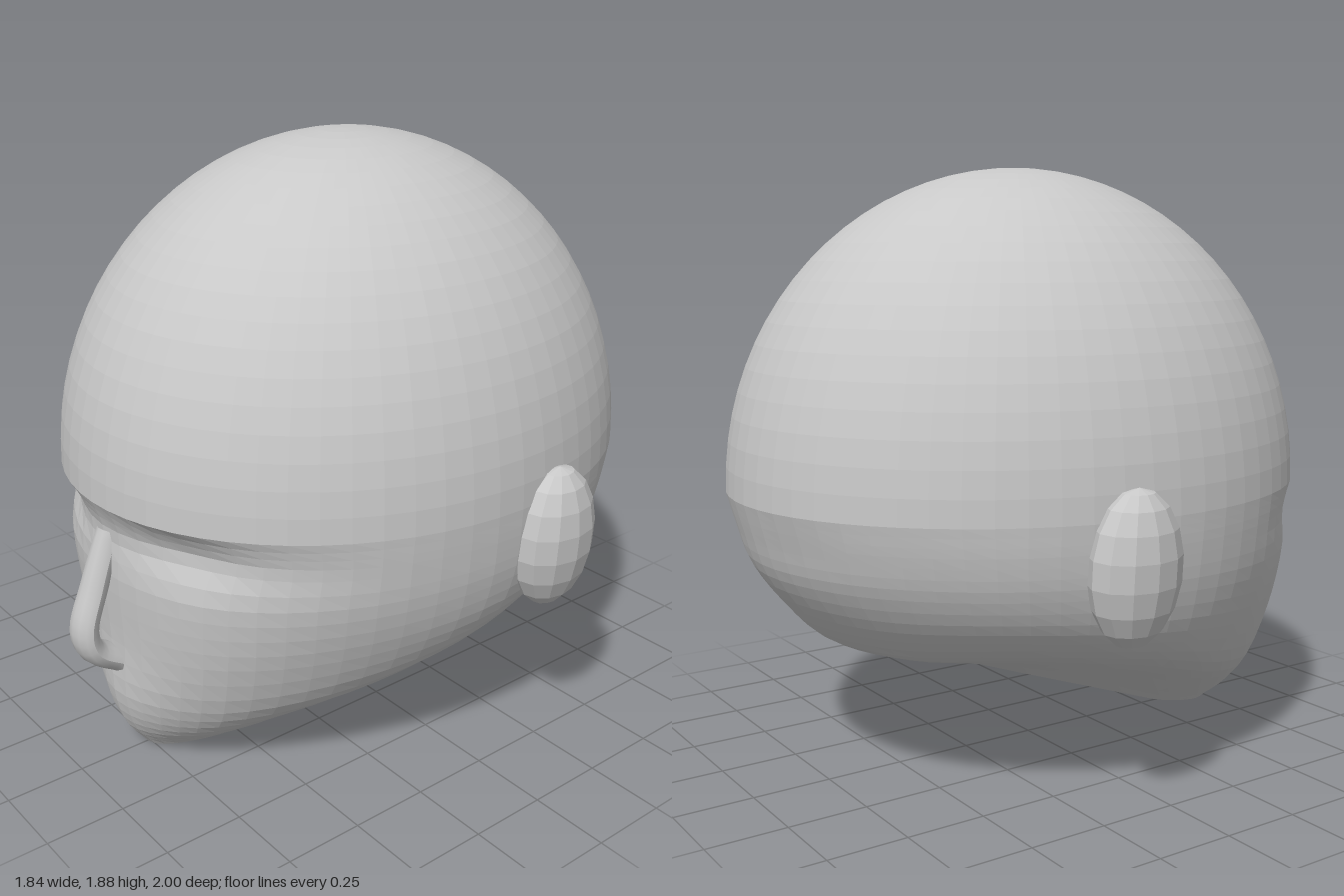
import * as THREE from 'three';

const clay = new THREE.MeshStandardMaterial({ color: 0xc8c8c8 });
clay.name = 'clay grey';

const COLS = 64, DOME_ROWS = 20, FACE_ROWS = 20, FLOOR_ROWS = 5;
const BROW = 0.895;
const POLE = new THREE.Vector3(0, 0.2, 0);

// Meridians of the lower head every 30 degrees from front to back:
// [x, y, z] going down from below the brow to the rim of the underside
const meridians = [
  [[0, 0.8, 0.88], [0, 0.62, 0.875], [0, 0.42, 0.865], [0, 0.22, 0.865], [0, 0.1, 0.83], [0, 0, 0.76]],
  [[0.41, 0.8, 0.765], [0.4, 0.63, 0.76], [0.37, 0.44, 0.745], [0.3, 0.23, 0.72], [0.22, 0.11, 0.69], [0.16, 0.04, 0.62]],
  [[0.71, 0.8, 0.425], [0.69, 0.65, 0.42], [0.64, 0.48, 0.4], [0.55, 0.31, 0.38], [0.39, 0.19, 0.37], [0.26, 0.12, 0.34]],
  [[0.825, 0.8, -0.05], [0.81, 0.68, -0.05], [0.765, 0.54, -0.04], [0.68, 0.43, -0.03], [0.5, 0.34, -0.03], [0.3, 0.27, -0.02]],
  [[0.71, 0.8, -0.52], [0.69, 0.69, -0.5], [0.64, 0.57, -0.46], [0.55, 0.47, -0.4], [0.42, 0.4, -0.31], [0.27, 0.34, -0.22]],
  [[0.41, 0.8, -0.85], [0.39, 0.69, -0.82], [0.36, 0.56, -0.74], [0.3, 0.45, -0.64], [0.23, 0.4, -0.52], [0.16, 0.36, -0.37]],
  [[0, 0.8, -0.975], [0, 0.69, -0.94], [0, 0.56, -0.85], [0, 0.45, -0.74], [0, 0.4, -0.6], [0, 0.36, -0.42]],
];

// Closed horizontal loop through one level of the mirrored meridians
function levelLoop(level) {
  const points = [];
  for (let k = 0; k < 12; k++) {
    const [x, y, z] = meridians[k <= 6 ? k : 12 - k][level];
    points.push(new THREE.Vector3(k <= 6 ? x : -x, y, z));
  }
  return new THREE.CatmullRomCurve3(points, true);
}

// Recess under the brow, deepest at the two eye sockets
function carveBrow(p) {
  const front = THREE.MathUtils.smoothstep(p.z, 0.25, 0.65);
  const socket = 0.012 + 0.035 * Math.exp(-(((Math.abs(p.x) - 0.34) / 0.18) ** 2));
  p.z -= front * socket * Math.exp(-(((p.y - 0.8) / 0.075) ** 2));
}

function flat(geometry) {
  const g = geometry.index ? geometry.toNonIndexed() : geometry;
  g.computeVertexNormals();
  return g;
}

function headGeometry() {
  const loops = meridians[0].map((_, level) => levelLoop(level));
  const columns = [];
  for (let j = 0; j < COLS; j++) {
    const a = (j / COLS) * Math.PI * 2;
    const column = [];
    // Dome
    for (let i = 0; i <= DOME_ROWS; i++) {
      const t = (i / DOME_ROWS) * Math.PI / 2, r = Math.sin(t);
      column.push(new THREE.Vector3(
        0.83 * Math.sin(a) * r, BROW + 0.99 * Math.cos(t), -0.05 + 0.95 * Math.cos(a) * r));
    }
    // Face, jaw and back of the skull
    const wall = new THREE.CatmullRomCurve3(
      [column[DOME_ROWS].clone(), ...loops.map((loop) => loop.getPoint(j / COLS))]);
    for (let i = 1; i <= FACE_ROWS; i++) {
      const p = wall.getPoint(i / FACE_ROWS);
      carveBrow(p);
      p.y = Math.max(p.y, 0);
      column.push(p);
    }
    // Underside
    const rim = column[column.length - 1];
    for (let i = 1; i <= FLOOR_ROWS; i++) column.push(rim.clone().lerp(POLE, i / FLOOR_ROWS));
    columns.push(column);
  }

  const rows = columns[0].length;
  const positions = columns.flatMap((column) => column.flatMap((p) => p.toArray()));
  const index = [];
  for (let j = 0; j < COLS; j++) {
    const left = j * rows, right = ((j + 1) % COLS) * rows;
    for (let i = 0; i < rows - 1; i++) {
      if (i < rows - 2) index.push(left + i, left + i + 1, right + i + 1);
      if (i > 0) index.push(left + i, right + i + 1, right + i);
      if (i === rows - 2) index.push(left + i, left + i + 1, right + i);
    }
  }
  const g = new THREE.BufferGeometry();
  g.setAttribute('position', new THREE.Float32BufferAttribute(positions, 3));
  g.setIndex(index);
  return flat(g);
}

// Bent nose that widens towards its tip
function noseGeometry() {
  const path = new THREE.CatmullRomCurve3([
    [0.79, 0.845], [0.62, 0.91], [0.48, 0.955], [0.41, 0.935], [0.35, 0.85],
  ].map(([y, z]) => new THREE.Vector3(0, y, z)));
  const g = new THREE.TubeGeometry(path, 20, 0.04, 12);
  const pos = g.attributes.position;
  for (let i = 0; i < pos.count; i++) {
    const widen = THREE.MathUtils.clamp((0.8 - pos.getY(i)) / 0.4, 0, 1);
    pos.setX(i, pos.getX(i) * (1 + 0.55 * widen));
  }
  g.computeVertexNormals();
  return g;
}

export function createModel() {
  const group = new THREE.Group();
  group.name = 'head';
  const add = (name, geometry) => {
    const mesh = new THREE.Mesh(geometry, clay);
    mesh.name = name;
    group.add(mesh);
    return mesh;
  };

  add('skull', headGeometry());
  add('nose', noseGeometry());

  // Ears
  for (const side of [1, -1]) {
    const ear = add(side > 0 ? 'leftEar' : 'rightEar', flat(new THREE.SphereGeometry(1, 12, 9)));
    ear.scale.set(0.105, 0.23, 0.15);
    ear.position.set(side * 0.815, 0.76, -0.2);
    ear.rotation.z = -side * 0.06;
  }
  return group;
}
